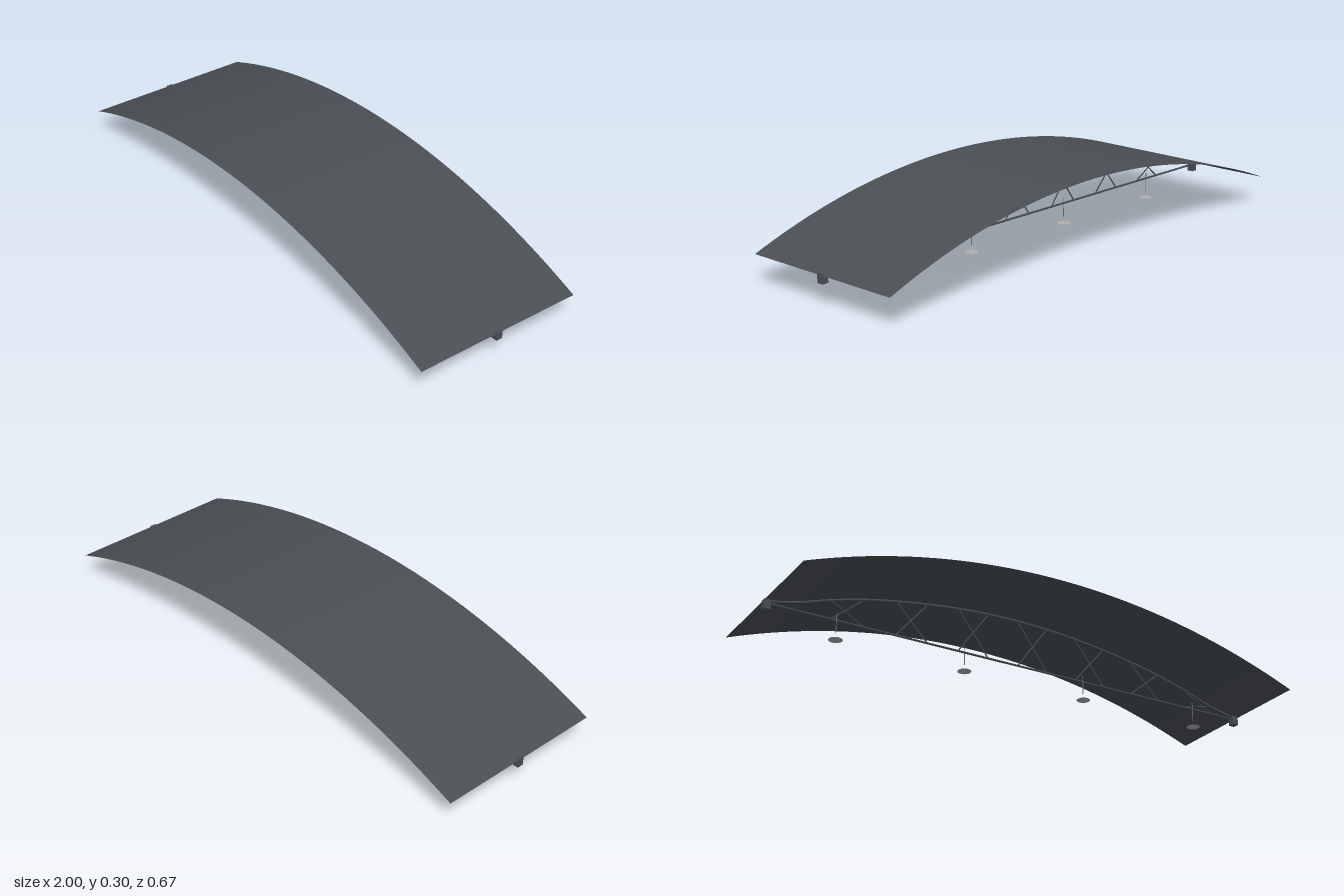
import * as THREE from 'three';

export function createModel() {
  const model = new THREE.Group();
  const steel = new THREE.MeshStandardMaterial({ color: 0x4a4f54, name: 'dark steel' });
  const sheet = new THREE.MeshStandardMaterial({ color: 0x4a4f54, name: 'roof sheet', side: THREE.DoubleSide });
  const wire = new THREE.MeshStandardMaterial({ color: 0x777777, name: 'wire grey' });
  const lamp = new THREE.MeshStandardMaterial({ color: 0xb0b0b0, name: 'lamp grey', side: THREE.DoubleSide });

  const add = (name, geometry, material, parent = model) => {
    const mesh = new THREE.Mesh(geometry, material);
    mesh.name = name;
    parent.add(mesh);
    return mesh;
  };

  // Round bar between two points
  const up = new THREE.Vector3(0, 1, 0);
  const bar = (name, a, b, radius, material, parent) => {
    const dir = b.clone().sub(a);
    const mesh = add(name, new THREE.CylinderGeometry(radius, radius, dir.length(), 8), material, parent);
    mesh.position.copy(a).lerp(b, 0.5);
    mesh.quaternion.setFromUnitVectors(up, dir.normalize());
    return mesh;
  };

  // Arched roof sheet: a plane bent onto a circular arc
  const rise = 0.192, base = 0.105;
  const R = (1 + rise * rise) / (2 * rise);
  const roof = new THREE.PlaneGeometry(2, 0.667, 64, 1).rotateX(-Math.PI / 2);
  const pos = roof.attributes.position;
  for (let i = 0; i < pos.count; i++) {
    const x = pos.getX(i);
    pos.setY(i, base + rise - R + Math.sqrt(R * R - x * x));
  }
  roof.computeVertexNormals();
  add('roof', roof, sheet);

  // Truss: top chord nodes every 0.125 along x, mirrored about the middle
  const truss = new THREE.Group();
  truss.name = 'truss';
  model.add(truss);
  const heights = [0.279, 0.276, 0.267, 0.252, 0.232, 0.206, 0.172, 0.131, 0.104];
  const top = [], bottom = [];
  for (let i = -8; i <= 8; i++) {
    const x = THREE.MathUtils.clamp(i / 8, -0.995, 0.995);
    top.push(new THREE.Vector3(x, heights[Math.abs(i)], 0));
    bottom.push(new THREE.Vector3(x, 0.1, 0));
  }
  add('topChord', new THREE.TubeGeometry(new THREE.CatmullRomCurve3(top), 64, 0.005, 8), steel, truss);
  bar('bottomChord', bottom[0], bottom[16], 0.004, steel, truss);

  // Crossed braces in every other bay
  for (let i = 0; i < 16; i += 2) {
    bar('brace', top[i], bottom[i + 1], 0.0025, steel, truss);
    bar('brace', bottom[i], top[i + 1], 0.0025, steel, truss);
  }

  // Bearing blocks at both ends
  for (const side of [-1, 1]) {
    add('bearingBlock', new THREE.BoxGeometry(0.025, 0.035, 0.025), steel)
      .position.set(side * 0.9875, 0.0925, 0);
  }

  // Hanging lamps: thin wire with a flat disc below
  for (const x of [-0.75, -0.25, 0.25, 0.75]) {
    const hanging = new THREE.Group();
    hanging.name = 'hangingLamp';
    hanging.position.set(x, 0, 0.05);
    model.add(hanging);
    bar('lampWire', new THREE.Vector3(0, 0.025, 0), new THREE.Vector3(0, 0.1, 0), 0.0014, wire, hanging);
    add('lampDisc', new THREE.CircleGeometry(0.025, 24).rotateX(-Math.PI / 2), lamp, hanging);
  }

  return model;
}
